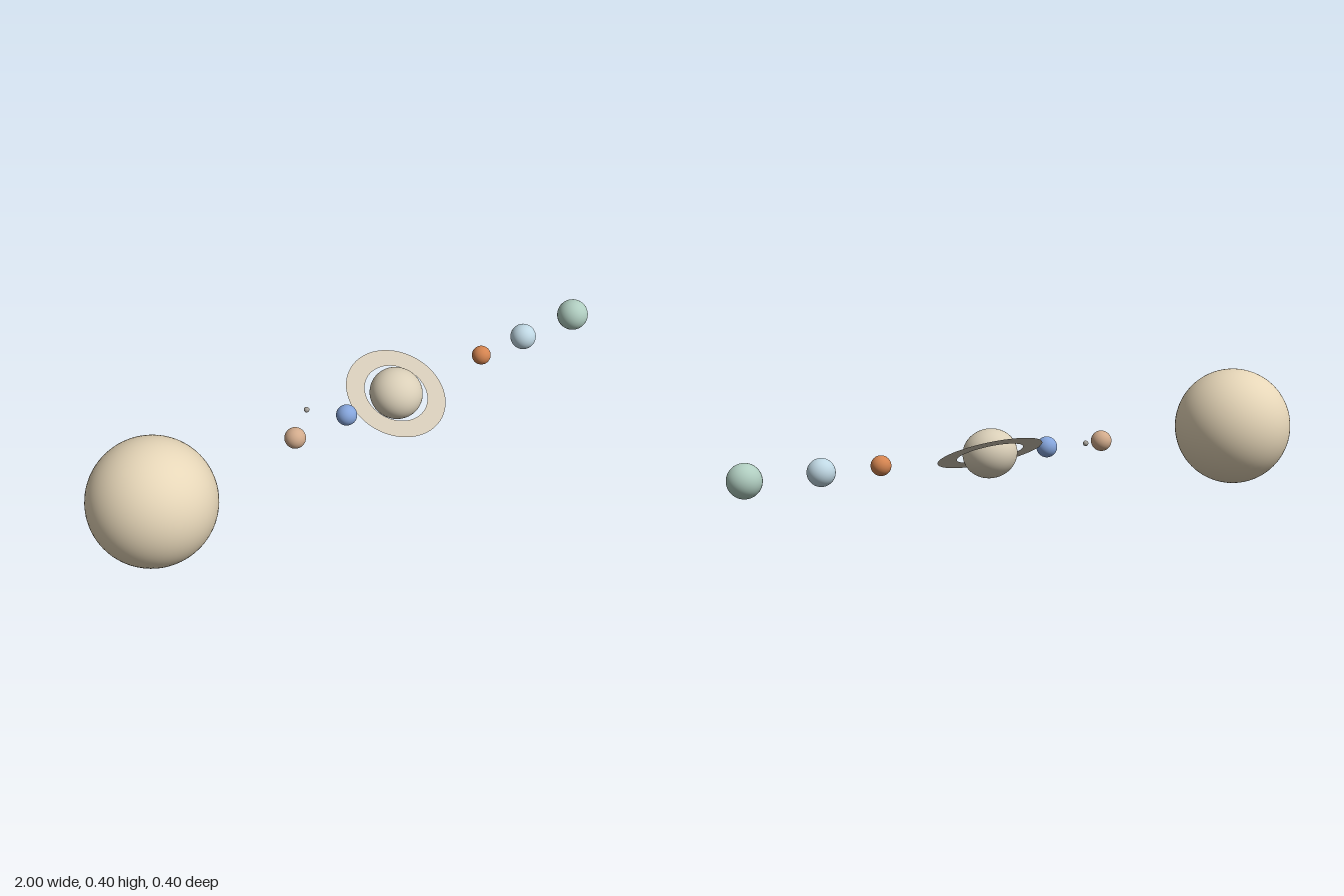
import * as THREE from 'three';

const AXIS_Y = 0.199; // common height of the row of planets

function material(color, side = THREE.FrontSide) {
  return new THREE.MeshStandardMaterial({ color, side });
}

function ball(name, color, radius, x, y = AXIS_Y, z = 0) {
  const mesh = new THREE.Mesh(new THREE.SphereGeometry(radius, 64, 40), material(color));
  mesh.name = name;
  mesh.position.set(x, y, z);
  return mesh;
}

export function createModel() {
  const model = new THREE.Group();
  model.name = 'planetRow';

  // Plain round bodies, from right to left: name, colour, radius, position
  const bodies = [
    ['giantPlanet', 0xe6d6b8, 0.1985, -0.8015],
    ['tanPlanet', 0xd2ab8c, 0.034, -0.275],
    ['moon', 0xa8a49c, 0.009, -0.168, 0.217, -0.083],
    ['bluePlanet', 0x85a5dc, 0.034, -0.07],
    ['orangePlanet', 0xd48450, 0.032, 0.511],
    ['paleBluePlanet', 0xc0d8e4, 0.044, 0.706],
    ['greenPlanet', 0xb0cdc0, 0.054, 0.946],
  ];
  for (const body of bodies) model.add(ball(...body));

  // Ringed planet: flattened globe and flat ring, front edge tipped down
  const ringed = new THREE.Group();
  ringed.name = 'ringedPlanet';
  ringed.position.set(0.136, AXIS_Y, 0);
  ringed.rotation.x = THREE.MathUtils.degToRad(26.7);

  const globe = ball('ringedGlobe', 0xdacfb8, 0.088, 0, 0);
  globe.scale.y = 0.9;

  const ring = new THREE.Mesh(
    new THREE.RingGeometry(0.108, 0.171, 96),
    material(0xd2c8b6, THREE.DoubleSide),
  );
  ring.name = 'ring';
  ring.rotation.x = -Math.PI / 2;

  ringed.add(globe, ring);
  model.add(ringed);
  return model;
}
